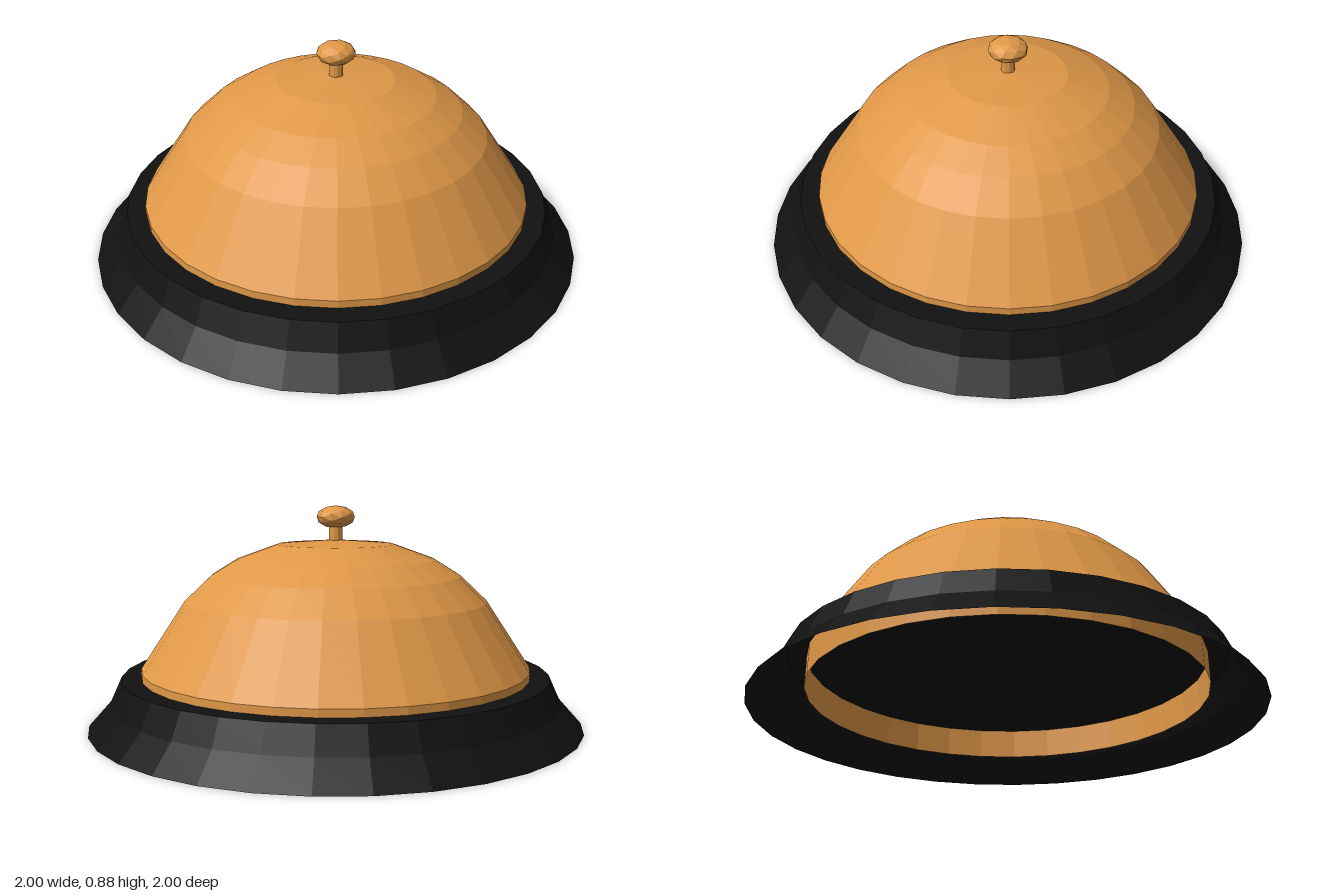
import * as THREE from 'three';

const SIDES = 32;
const brass = new THREE.MeshStandardMaterial({ color: 0xe09848, flatShading: true, side: THREE.DoubleSide });
const black = new THREE.MeshStandardMaterial({ color: 0x111111, flatShading: true, side: THREE.DoubleSide });

// Revolve [radius, height] pairs, listed from bottom to top
function turned(name, profile, material, sides = SIDES) {
  const points = profile.map(([r, y]) => new THREE.Vector2(r, y));
  const mesh = new THREE.Mesh(new THREE.LatheGeometry(points, sides), material);
  mesh.name = name;
  return mesh;
}

export function createModel() {
  const model = new THREE.Group();
  model.name = 'deskBell';

  // Hollow flared base with a closed flat top
  model.add(turned('base', [[1, 0], [0.91, 0.1], [0.865, 0.2], [0, 0.2]], black));

  // Dome whose short straight wall reaches down inside the base
  model.add(turned('dome', [
    [0.787, 0.075], [0.787, 0.23], [0.61, 0.5], [0.505, 0.6],
    [0.4, 0.665], [0.235, 0.725], [0, 0.743],
  ], brass));

  // Plunger stem
  const stem = new THREE.Mesh(new THREE.CylinderGeometry(0.028, 0.028, 0.1, 12), brass);
  stem.name = 'plungerStem';
  stem.position.y = 0.77;
  model.add(stem);

  // Flattened faceted knob
  const knobGeometry = new THREE.IcosahedronGeometry(0.079, 1);
  knobGeometry.scale(1, 0.58, 1);
  const knob = new THREE.Mesh(knobGeometry, brass);
  knob.name = 'plungerKnob';
  knob.position.y = 0.834;
  model.add(knob);

  return model;
}
